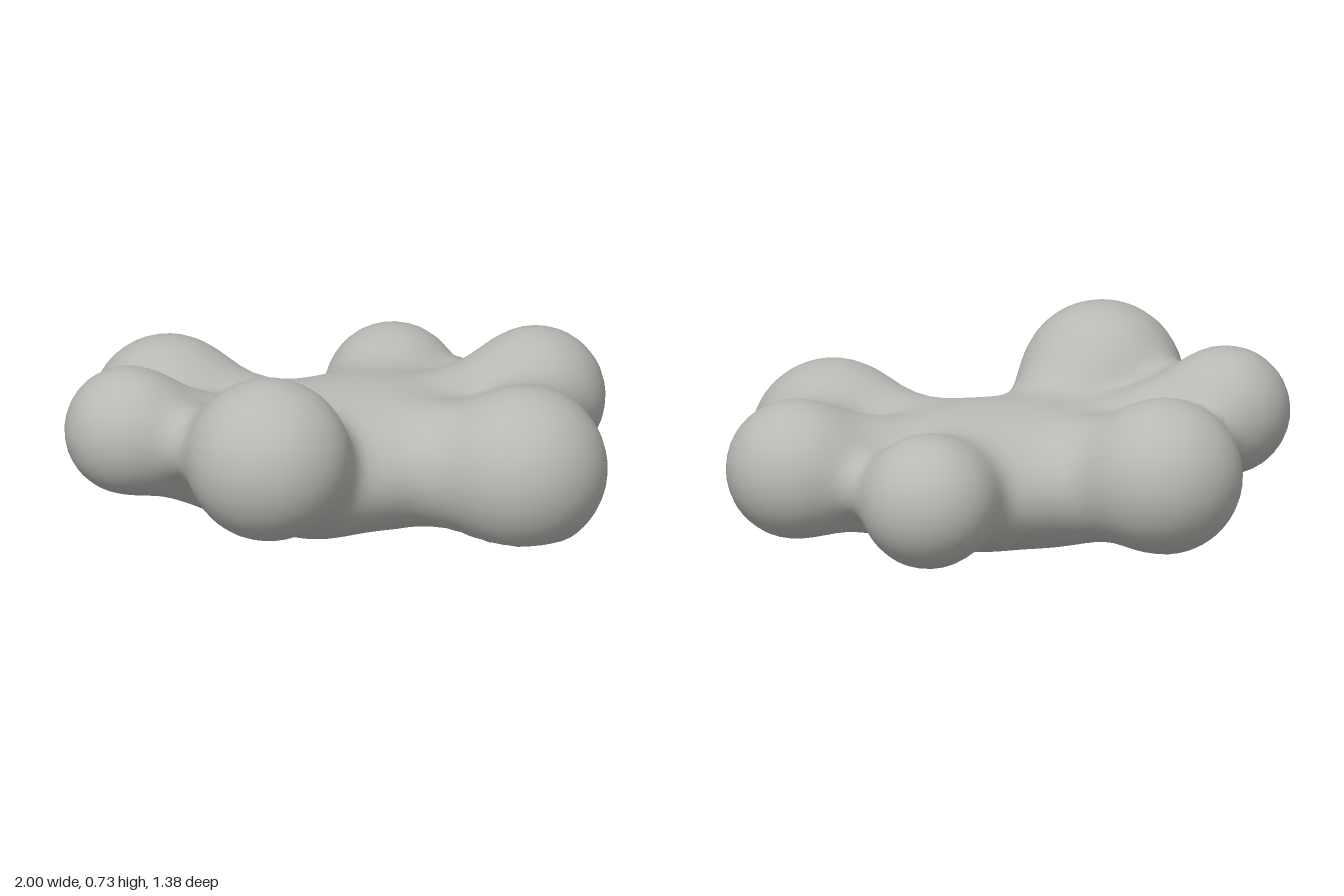
import * as THREE from 'three';

// Lobes: centre x, y, z, radius, height of the flattened underside
const LOBES = [
  [-0.41, 0.445, 0.40, 0.277, -1],
  [-0.78, 0.445, -0.02, 0.213, -1],
  [-0.50, 0.33, -0.41, 0.264, -1],
  [0.34, 0.29, -0.455, 0.225, -1],
  [0.755, 0.335, -0.13, 0.23, -1],
  [0.54, 0.28, 0.38, 0.278, 0.07],
];
const CORE = { y: 0.252, z: -0.02, r: [0.53, 0.25, 0.395] };
const BLEND = 0.03;

// Necks taper from each lobe toward the body: from, to, start radius, end radius, floor
const NECKS = LOBES.map(([x, y, z, r, floor]) =>
  [[x, y, z], [x * 0.35, CORE.y, z * 0.35], r * 0.88, 0.2, floor]);

// Bridges between neighbouring lobes: lobe, lobe, share of the lobe radius
const BRIDGES = [[0, 1, 0.45], [1, 2, 0.45], [3, 4, 0.4], [4, 5, 0.78]].map(([a, b, s]) =>
  [LOBES[a].slice(0, 3), LOBES[b].slice(0, 3), LOBES[a][3] * s, LOBES[b][3] * s, 0.05]);

const LIMBS = [...NECKS, ...BRIDGES];

// Distance to the ellipsoid body
function coreDistance(x, y, z) {
  const [a, b, c] = CORE.r, h = y - CORE.y, w = z - CORE.z;
  const k0 = Math.hypot(x / a, h / b, w / c);
  const k1 = Math.hypot(x / (a * a), h / (b * b), w / (c * c));
  return k1 < 1e-6 ? -b : k0 * (k0 - 1) / k1;
}

// Distance to a tapered limb
function limbDistance(x, y, z, [p, q, r0, r1, floor]) {
  const dx = q[0] - p[0], dy = q[1] - p[1], dz = q[2] - p[2];
  const px = x - p[0], py = y - p[1], pz = z - p[2];
  const t = THREE.MathUtils.clamp(
    (px * dx + py * dy + pz * dz) / (dx * dx + dy * dy + dz * dz), 0, 1);
  const d = Math.hypot(px - t * dx, py - t * dy, pz - t * dz) - r0 - (r1 - r0) * t;
  return Math.max(d, floor - y);
}

// Soft union of body, lobes and limbs
function field(x, y, z) {
  let sum = Math.exp(-coreDistance(x, y, z) / BLEND);
  for (const [lx, ly, lz, r, floor] of LOBES) {
    const ball = Math.max(Math.hypot(x - lx, y - ly, z - lz) - r, floor - y);
    sum += Math.exp(-ball / BLEND);
  }
  for (const limb of LIMBS) sum += Math.exp(-limbDistance(x, y, z, limb) / BLEND);
  return -BLEND * Math.log(sum);
}

function gradient(x, y, z, e = 0.004) {
  return new THREE.Vector3(
    field(x + e, y, z) - field(x - e, y, z),
    field(x, y + e, z) - field(x, y - e, z),
    field(x, y, z + e) - field(x, y, z - e)).divideScalar(2 * e);
}

// Mesh the field: one vertex per crossed cell, one quad per crossed grid edge
function blobGeometry() {
  const step = 0.04, origin = [-1.16, -0.16, -0.84], size = [59, 27, 43];
  const stride = [1, size[0], size[0] * size[1]];
  const values = new Float32Array(size[0] * size[1] * size[2]);
  const each = (from, to, visit) => {
    for (let k = from; k < size[2] - to; k++)
      for (let j = from; j < size[1] - to; j++)
        for (let i = from; i < size[0] - to; i++)
          visit(i, j, k, i + j * stride[1] + k * stride[2]);
  };
  each(0, 0, (i, j, k, n) => {
    values[n] = field(origin[0] + i * step, origin[1] + j * step, origin[2] + k * step);
  });

  const positions = [], normals = [], cell = new Map();
  each(0, 1, (i, j, k, n) => {
    let inside = 0;
    for (let c = 0; c < 8; c++)
      if (values[n + (c & 1) + (c >> 1 & 1) * stride[1] + (c >> 2) * stride[2]] < 0) inside++;
    if (inside === 0 || inside === 8) return;
    // Pull the cell centre onto the surface
    const p = new THREE.Vector3(i + 0.5, j + 0.5, k + 0.5).multiplyScalar(step);
    p.add(new THREE.Vector3(...origin));
    for (let s = 0; s < 4; s++) {
      const g = gradient(p.x, p.y, p.z);
      p.addScaledVector(g, -field(p.x, p.y, p.z) / Math.max(0.2, g.lengthSq()));
    }
    cell.set(n, positions.length / 3);
    positions.push(p.x, p.y, p.z);
    normals.push(...gradient(p.x, p.y, p.z).normalize().toArray());
  });

  const index = [];
  each(1, 1, (i, j, k, n) => {
    for (let a = 0; a < 3; a++) {
      const here = values[n] < 0, next = values[n + stride[a]] < 0;
      if (here === next) continue;
      const u = stride[(a + 1) % 3], v = stride[(a + 2) % 3];
      const q = [n - u - v, n - v, n, n - u].map((m) => cell.get(m));
      if (!here) q.reverse();
      index.push(q[0], q[1], q[2], q[0], q[2], q[3]);
    }
  });

  const geometry = new THREE.BufferGeometry();
  geometry.setAttribute('position', new THREE.Float32BufferAttribute(positions, 3));
  geometry.setAttribute('normal', new THREE.Float32BufferAttribute(normals, 3));
  geometry.setIndex(index);

  // Stand on the ground
  geometry.computeBoundingBox();
  geometry.translate(0, -geometry.boundingBox.min.y, 0);
  return geometry;
}

export function createModel() {
  const group = new THREE.Group();
  group.name = 'lobedBlob';
  const grey = new THREE.MeshStandardMaterial({ color: 0xb8b8b4 });
  grey.name = 'warmGrey';
  const body = new THREE.Mesh(blobGeometry(), grey);
  body.name = 'lobedBody';
  group.add(body);
  return group;
}
